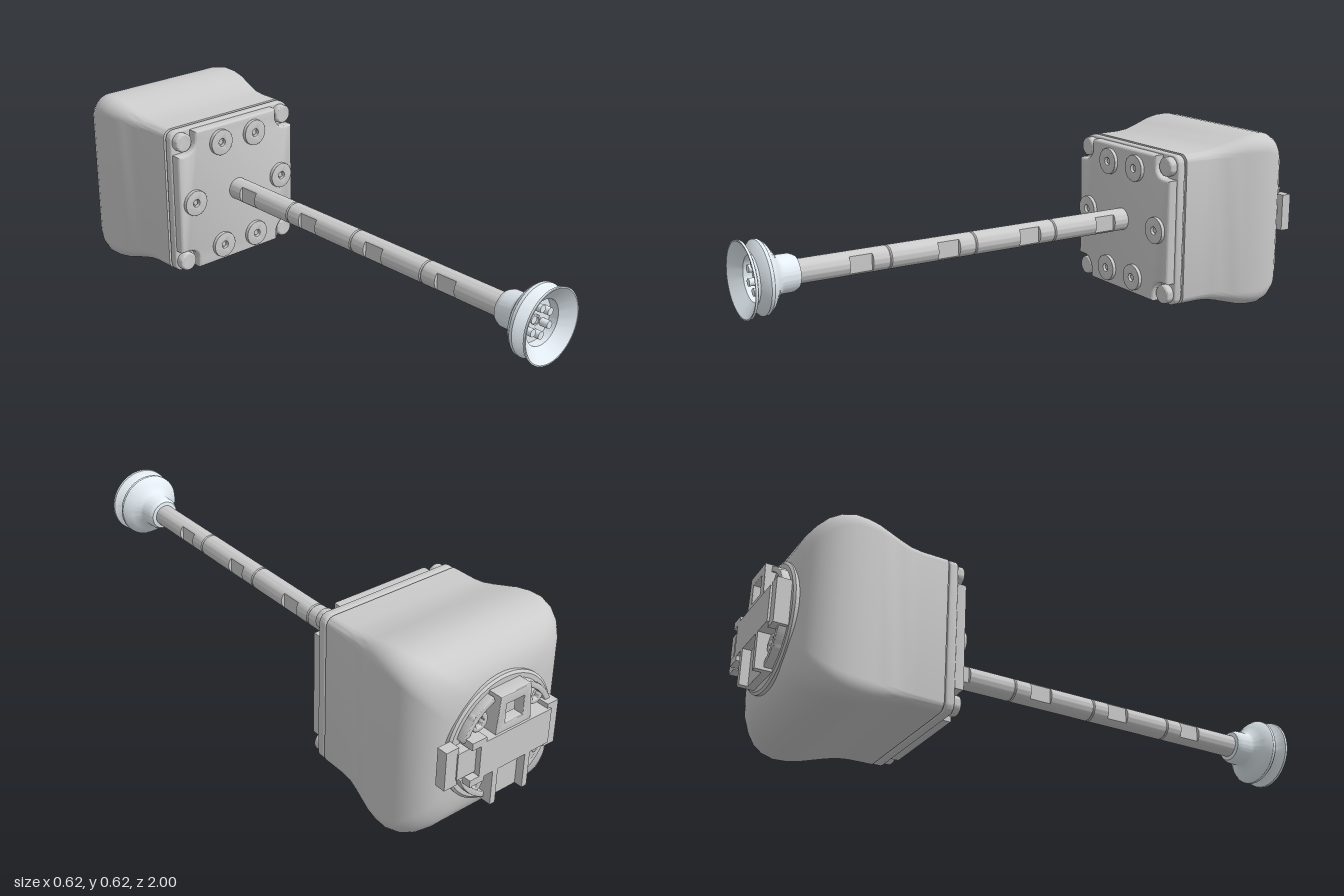
import * as THREE from 'three';
import { toCreasedNormals } from 'three/addons/utils/BufferGeometryUtils.js';

const grey = new THREE.MeshStandardMaterial({ color: 0xcccccc });
const pale = new THREE.MeshStandardMaterial({ color: 0xe4edf3, side: THREE.DoubleSide });

export function createModel() {
  const model = new THREE.Group();
  model.name = 'suctionGripper';
  model.position.y = 0.31; // everything is built around the tool axis (z)

  const add = (name, geo, x = 0, y = 0, z = 0, mat = grey, parent = model) => {
    const m = new THREE.Mesh(geo, mat);
    m.name = name;
    m.position.set(x, y, z);
    parent.add(m);
    return m;
  };
  const crease = (g, a = 0.6) => toCreasedNormals(g, a);
  const cyl = (r, len, n = 32) => new THREE.CylinderGeometry(r, r, len, n).rotateX(Math.PI / 2);
  const box = (name, x0, x1, y0, y1, z0, z1) =>
    add(name, new THREE.BoxGeometry(x1 - x0, y1 - y0, z1 - z0), (x0 + x1) / 2, (y0 + y1) / 2, (z0 + z1) / 2);
  const lathe = (pts, n = 64) =>
    crease(new THREE.LatheGeometry(pts.map(p => new THREE.Vector2(...p)), n).rotateX(Math.PI / 2));

  // Extruded outline between two z values, with a small bevel kept inside the outline
  const plate = (shape, z0, z1, b = 0.006) => crease(new THREE.ExtrudeGeometry(shape, {
    depth: z1 - z0 - 2 * b, bevelEnabled: b > 0, bevelSize: b, bevelThickness: b,
    bevelOffset: -b, bevelSegments: 3, curveSegments: 24,
  }).translate(0, 0, z0 + b));

  const circle = r => new THREE.Shape().absarc(0, 0, r, 0, Math.PI * 2, false);
  const roundedRect = (h, r, seg = 10) => {
    const pts = [];
    for (let k = 0; k < 4; k++) {
      const mid = Math.PI / 4 + k * Math.PI / 2;
      const cx = Math.sign(Math.cos(mid)) * (h - r), cy = Math.sign(Math.sin(mid)) * (h - r);
      for (let i = 0; i <= seg; i++) {
        const t = k * Math.PI / 2 + i / seg * Math.PI / 2;
        pts.push(new THREE.Vector2(cx + r * Math.cos(t), cy + r * Math.sin(t)));
      }
    }
    return pts;
  };

  // Skin over counter-clockwise rings ordered by rising z, closed at both ends
  const loft = rings => {
    const n = rings[0].pts.length, pos = [], idx = [];
    rings.forEach(({ z, pts }) => pts.forEach(p => pos.push(p.x, p.y, z)));
    for (let j = 0; j < rings.length - 1; j++) for (let i = 0; i < n; i++) {
      const a = j * n + i, b = j * n + (i + 1) % n;
      idx.push(a, b, b + n, a, b + n, a + n);
    }
    const last = rings.length - 1, c = rings.length * n;
    pos.push(0, 0, rings[0].z, 0, 0, rings[last].z);
    for (let i = 0; i < n; i++) {
      const k = (i + 1) % n;
      idx.push(c, k, i, c + 1, last * n + i, last * n + k);
    }
    const g = new THREE.BufferGeometry();
    g.setAttribute('position', new THREE.Float32BufferAttribute(pos, 3));
    g.setIndex(idx);
    return crease(g);
  };

  // Housing: flared rounded box with a domed back; [z, half width, corner radius]
  const housing = [
    [-0.938, 0.1, 0.05], [-0.935, 0.17, 0.07], [-0.928, 0.21, 0.075], [-0.915, 0.242, 0.075],
    [-0.895, 0.267, 0.072], [-0.87, 0.288, 0.07], [-0.84, 0.301, 0.066], [-0.8, 0.308, 0.062],
    [-0.76, 0.306, 0.058], [-0.72, 0.299, 0.052], [-0.68, 0.288, 0.046], [-0.64, 0.277, 0.04],
    [-0.6, 0.268, 0.036], [-0.56, 0.264, 0.032], [-0.476, 0.263, 0.03],
  ];
  add('housing', loft(housing.map(([z, h, r]) => ({ z, pts: roundedRect(h, r) }))));

  // Front cover: base plate and raised face with scooped corners
  add('coverSeam', plate(new THREE.Shape(roundedRect(0.255, 0.028)), -0.482, -0.468, 0));
  add('coverBase', plate(new THREE.Shape(roundedRect(0.262, 0.03)), -0.47, -0.44));
  const face = [];
  for (let k = 0; k < 4; k++) {
    const corner = [new THREE.Vector2(0.256, 0.18)];
    for (let i = 0; i <= 12; i++) {
      const t = -Math.PI / 2 * (1 + i / 12);
      corner.push(new THREE.Vector2(0.225 + 0.045 * Math.cos(t), 0.225 + 0.045 * Math.sin(t)));
    }
    corner.push(new THREE.Vector2(0.18, 0.256));
    corner.forEach(p => face.push(p.rotateAround(new THREE.Vector2(), k * Math.PI / 2)));
  }
  add('coverFace', plate(new THREE.Shape(face), -0.45, -0.406, 0.008));

  // Screw head with a six-lobed socket
  const screwShape = r => {
    const s = circle(r), star = [];
    for (let i = 0; i < 48; i++) {
      const t = -i / 48 * Math.PI * 2, q = r * (0.5 + 0.07 * Math.cos(6 * t));
      star.push(new THREE.Vector2(q * Math.cos(t), q * Math.sin(t)));
    }
    s.holes.push(new THREE.Path(star));
    return s;
  };
  const coverScrew = plate(screwShape(0.033), -0.445, -0.413, 0.007);
  for (const x of [-1, 1]) for (const y of [-1, 1]) {
    add('coverScrew', coverScrew, x * 0.223, y * 0.223);
    add('coverScrewSocket', cyl(0.024, 0.01), x * 0.223, y * 0.223, -0.435);
  }

  // Six round mounting pads with hexagonal sockets
  const padShape = circle(0.046);
  const hole = [...Array(24).keys()].map(i => -i / 24 * Math.PI * 2)
    .map(t => new THREE.Vector2(0.014 * Math.cos(t), 0.014 * Math.sin(t)));
  padShape.holes.push(new THREE.Path(hole));
  const pad = plate(padShape, -0.412, -0.393, 0.001);
  for (const [x, y] of [[0.195, 0], [0.075, 0.195], [-0.075, 0.195], [-0.195, 0], [-0.075, -0.195], [0.075, -0.195]]) {
    add('mountingPad', pad, x, y);
    add('padSocket', cyl(0.01, 0.014, 6), x, y, -0.407);
  }

  // Extension rod: four equal segments, each with two wrench flats
  const rodRing = (z, limit, r = 0.039) => ({
    z, pts: [...Array(48).keys()].map(i => {
      const t = i / 48 * Math.PI * 2;
      return new THREE.Vector2(THREE.MathUtils.clamp(r * Math.cos(t), -limit, limit), r * Math.sin(t));
    }),
  });
  const L = 0.31, flat = 0.027;
  const segment = loft([
    rodRing(0, 1, 0.036), rodRing(0.004, 1), rodRing(0.061, 1), rodRing(0.062, flat), rodRing(0.139, flat),
    rodRing(0.14, 1), rodRing(L - 0.004, 1), rodRing(L, 1, 0.036),
  ]);
  for (let i = 0; i < 4; i++) add('rodSegment', segment, 0, 0, -0.41 + i * L);

  // Suction cup: neck, bulge, groove, flared lip and hollow inside
  add('suctionCup', lathe([
    [0.036, 0.825], [0.052, 0.828], [0.056, 0.835], [0.06, 0.845], [0.061, 0.885], [0.066, 0.895], [0.09, 0.912],
    [0.108, 0.925], [0.117, 0.938], [0.117, 0.948], [0.108, 0.957], [0.085, 0.97], [0.09, 0.977],
    [0.121, 0.992], [0.122, 1.0], [0.118, 1.0], [0.073, 0.965], [0.073, 0.935], [0, 0.935],
  ]), 0, 0, 0, pale);
  for (let i = 0; i < 6; i++) {
    const t = Math.PI / 2 + i * Math.PI / 3;
    add('cupPeg', cyl(0.0125, 0.03, 20), 0.043 * Math.cos(t), 0.043 * Math.sin(t), 0.948, pale);
  }
  const fitting = circle(0.016);
  fitting.holes.push(new THREE.Path().absarc(0, 0, 0.009, 0, Math.PI * 2, true));
  add('cupFitting', plate(fitting, 0.93, 0.945, 0.001));

  // Rear coupling: base disc, raised rim segments, cross-shaped key and latches
  add('couplingBase', lathe([[0, -0.946], [0.2, -0.946], [0.208, -0.94], [0.208, -0.915], [0, -0.915]]));
  for (let k = 0; k < 4; k++) {
    const a = k * Math.PI / 2 + 0.36, b = a + Math.PI / 2 - 0.72;
    const rim = new THREE.Shape().absarc(0, 0, 0.186, a, b, false).absarc(0, 0, 0.168, b, a, true);
    add('couplingRim', plate(rim, -0.972, -0.94, 0.002));
  }
  box('couplingBar', -0.15, 0.13, -0.06, 0.06, -1, -0.94);
  box('couplingHead', -0.183, -0.14, -0.075, 0.075, -0.993, -0.94);
  box('latchArm', 0.13, 0.2, -0.045, 0.045, -0.982, -0.946);
  box('latchTab', 0.195, 0.242, -0.065, 0.065, -0.978, -0.942);
  for (const s of [-1, 1]) {
    box('keyWall', s * 0.065 - 0.01, s * 0.065 + 0.01, -0.18, -0.055, -1, -0.94);
    box('latchGuide', 0.11, 0.165, s * 0.064 - 0.012, s * 0.064 + 0.012, -1, -0.94);
  }
  box('keyFloor', -0.06, 0.06, -0.18, -0.055, -0.972, -0.94);

  // Upper arm with a square connector socket
  const arm = new THREE.Shape([[-0.07, 0.055], [0.07, 0.055], [0.06, 0.182], [-0.06, 0.182]].map(p => new THREE.Vector2(...p)));
  arm.holes.push(new THREE.Path([[-0.035, 0.085], [-0.035, 0.15], [0.035, 0.15], [0.035, 0.085]].map(p => new THREE.Vector2(...p))));
  add('connectorArm', plate(arm, -0.993, -0.94, 0.002));
  box('connectorPlug', -0.018, 0.018, 0.102, 0.134, -0.975, -0.94);

  // Four coupling screws
  const backScrew = plate(screwShape(0.032), 0, 0.026, 0.005).rotateY(Math.PI);
  for (const x of [-1, 1]) for (const y of [-1, 1]) {
    add('couplingScrew', backScrew, x * 0.112, y * 0.108, -0.944);
    add('couplingScrewSocket', cyl(0.022, 0.01), x * 0.112, y * 0.108, -0.949);
  }
  const root = new THREE.Group();
  root.add(model);
  return root;
}
